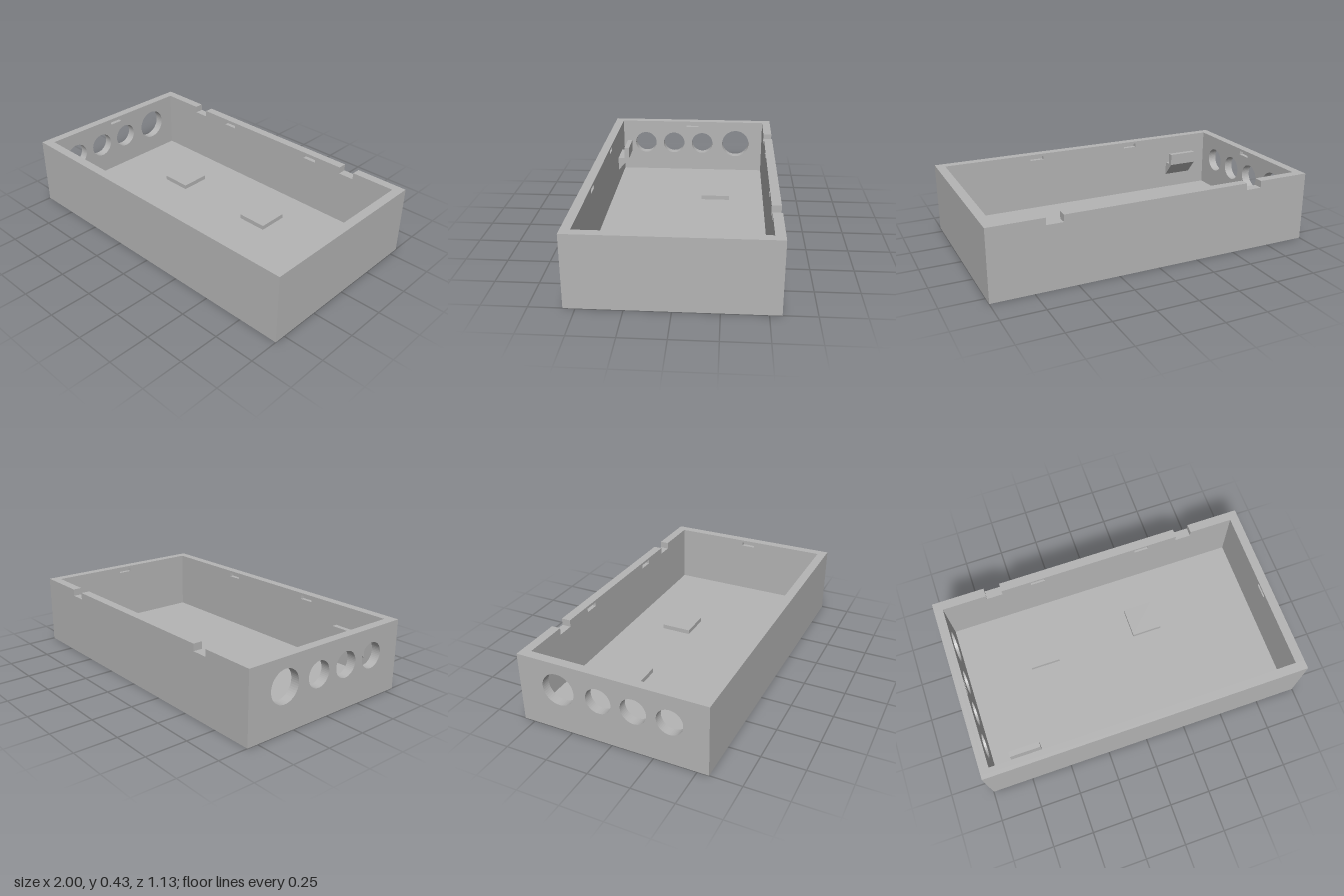
import * as THREE from 'three';

const H = 0.425, HX = 1, HZ = 0.566, T = 0.055, SKIN = 0.027;
const IX = HX - T, IZ = HZ - T;

export function createModel() {
  const group = new THREE.Group();
  const grey = new THREE.MeshStandardMaterial({ color: 0xb4b4b4 });
  grey.name = 'grey plastic';

  const add = (name, geometry, x, y, z, turn = 0) => {
    const mesh = new THREE.Mesh(geometry, grey);
    mesh.name = name;
    mesh.position.set(x, y, z);
    mesh.rotation.y = turn;
    group.add(mesh);
  };
  const extrude = (shape, depth) =>
    new THREE.ExtrudeGeometry(shape, { depth, bevelEnabled: false, curveSegments: 24 });
  const polygon = (points) => new THREE.Shape(points.map(([x, y]) => new THREE.Vector2(x, y)));

  // Wall outline, with optional notches in the top edge
  const wallShape = (half, notches = []) => {
    const pts = [[-half, 0], [half, 0], [half, H]];
    for (const [a, b] of notches) pts.push([b, H], [b, H - 0.042], [a, H - 0.042], [a, H]);
    pts.push([-half, H]);
    return polygon(pts);
  };
  // Shallow latch recess, cut only through the inner skin
  const cutSlot = (shape, u) => shape.holes.push(
    polygon([[u - 0.045, 0.386], [u - 0.045, 0.41], [u + 0.045, 0.41], [u + 0.045, 0.386]]));
  // Round ports: position along the wall and radius
  const ports = [[-0.319, 0.098], [-0.072, 0.077], [0.137, 0.077], [0.346, 0.077]];
  const cutPorts = (shape) => {
    for (const [u, r] of ports) {
      shape.holes.push(new THREE.Path().absarc(u, 0.262, r, 0, Math.PI * 2, true));
    }
  };

  add('floor', new THREE.BoxGeometry(IX * 2, T, IZ * 2), 0, T / 2, 0);

  // Front and back walls, each an outer and a recessed inner skin
  const notches = [[0.574, 0.673], [-0.673, -0.574]];
  for (const [side, name, cuts] of [[1, 'frontWall', []], [-1, 'backWall', notches]]) {
    const outer = wallShape(HX, cuts);
    const inner = wallShape(HX, cuts);
    for (const u of [-0.342, 0.342]) cutSlot(inner, u);
    add(name + 'Outer', extrude(outer, T - SKIN), 0, 0, side > 0 ? IZ + SKIN : -HZ);
    add(name + 'Inner', extrude(inner, SKIN), 0, 0, side > 0 ? IZ : -IZ - SKIN);
  }

  // Side walls: extruded toward -x after the quarter turn
  for (const [side, name] of [[1, 'leftWall'], [-1, 'rightWall']]) {
    const outer = wallShape(IZ);
    const inner = wallShape(IZ);
    cutSlot(inner, 0);
    if (side < 0) {
      cutPorts(outer);
      cutPorts(inner);
    }
    add(name + 'Outer', extrude(outer, T - SKIN), side > 0 ? HX : -IX - SKIN, 0, 0, -Math.PI / 2);
    add(name + 'Inner', extrude(inner, SKIN), side > 0 ? IX + SKIN : -IX, 0, 0, -Math.PI / 2);
  }

  // Raised square pads on the floor
  for (const x of [-0.453, 0.241]) {
    add('floorPad', new THREE.BoxGeometry(0.188, 0.028, 0.188), x, T + 0.014, -0.188);
  }

  // Lipped bracket with a sloped underside, on the inside of the front wall
  const bracket = polygon([[IZ, 0.15], [IZ, 0.24], [0.467, 0.24], [0.467, 0.315],
    [0.434, 0.315], [0.434, 0.24]]);
  add('bracket', extrude(bracket, 0.188), -0.636, 0, 0, -Math.PI / 2);

  return group;
}
